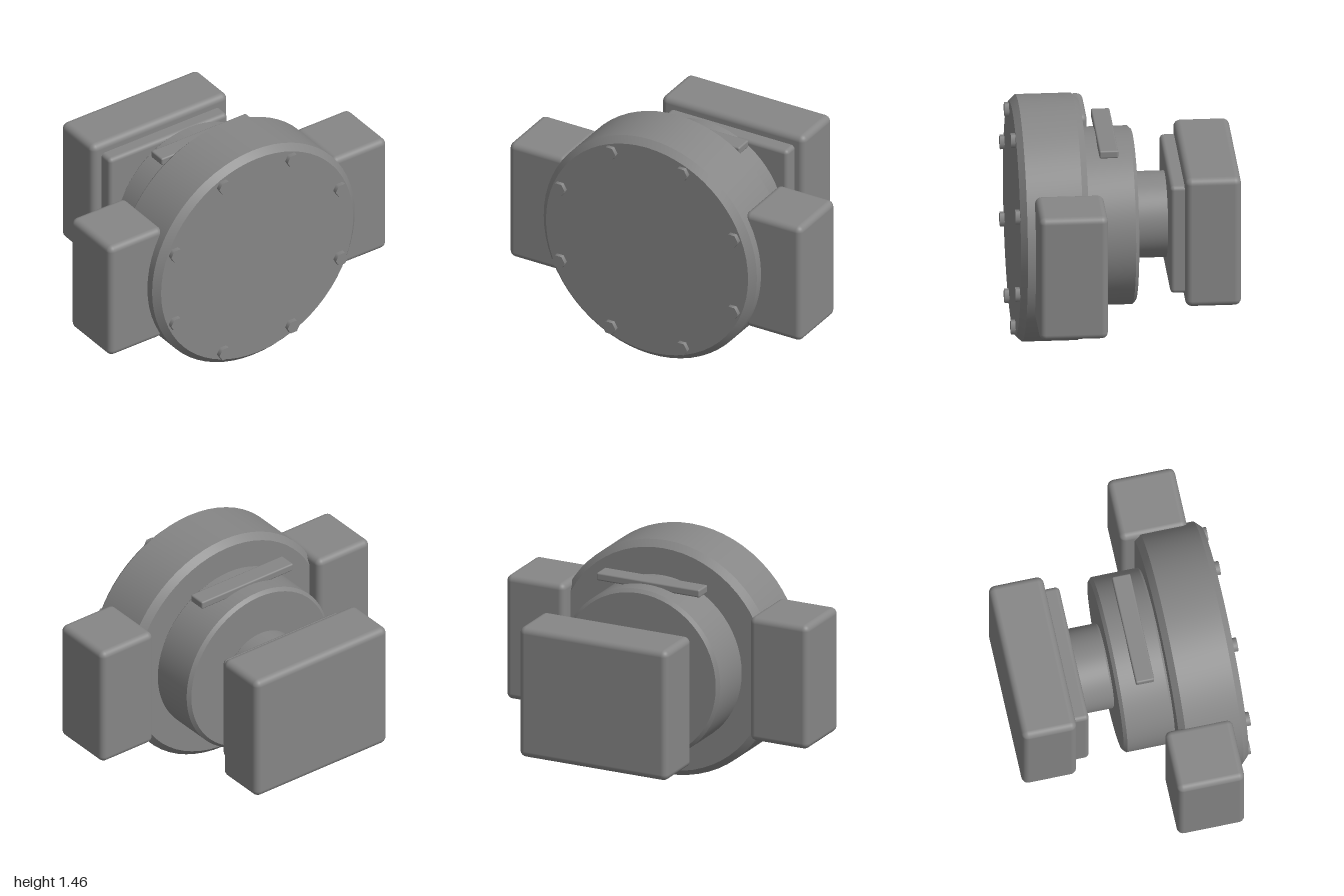
import * as THREE from 'three';
import { RoundedBoxGeometry } from 'three/addons/geometries/RoundedBoxGeometry.js';
import { toCreasedNormals } from 'three/addons/utils/BufferGeometryUtils.js';

const AXIS_Y = 0.73; // height of the common axis of all round parts

export function createModel() {
  const model = new THREE.Group();
  const material = new THREE.MeshStandardMaterial({ color: 0x868686 });

  function add(name, geometry, x, y, z) {
    const mesh = new THREE.Mesh(geometry, material);
    mesh.name = name;
    mesh.position.set(x, y, z);
    model.add(mesh);
  }

  // Disc along z with both rims chamfered
  function disc(name, radius, back, front, chamfer) {
    const profile = [
      [0, back], [radius - chamfer, back], [radius, back + chamfer],
      [radius, front - chamfer], [radius - chamfer, front], [0, front],
    ].map(([r, z]) => new THREE.Vector2(r, z));
    const geometry = new THREE.LatheGeometry(profile, 64).rotateX(Math.PI / 2);
    add(name, toCreasedNormals(geometry, 0.5), 0, AXIS_Y, 0);
  }

  // Rounded box given by its [min, max] extents
  function box(name, [x0, x1], [y0, y1], [z0, z1], radius) {
    const geometry = new RoundedBoxGeometry(x1 - x0, y1 - y0, z1 - z0, 4, radius);
    add(name, geometry, (x0 + x1) / 2, (y0 + y1) / 2, (z0 + z1) / 2);
  }

  // Round body, stepping down towards the back
  disc('mainDrum', 0.728, 0.24, 0.644, 0.038);
  disc('rearCollar', 0.526, -0.068, 0.248, 0.02);
  disc('neck', 0.255, -0.27, -0.066, 0.012);

  // Bar across the top of the collar
  box('topBar', [-0.34, 0.34], [1.226, 1.274], [0.043, 0.154], 0.01);

  // Mounting plate and block at the back
  box('mountingPlate', [-0.425, 0.425], [0.39, 1.069], [-0.37, -0.257], 0.026);
  box('rearBlock', [-0.49, 0.49], [0.325, 1.137], [-0.671, -0.342], 0.04);

  // Side blocks
  box('leftBlock', [0.611, 0.998], [0.344, 1.117], [0.153, 0.558], 0.038);
  box('rightBlock', [-0.998, -0.611], [0.344, 1.117], [0.153, 0.558], 0.038);

  // Ring of hexagonal bolt heads on the front face
  const boltGeometry = new THREE.CylinderGeometry(0.044, 0.044, 0.06, 6)
    .rotateY(Math.PI / 6).rotateX(Math.PI / 2);
  for (let i = 0; i < 8; i++) {
    const angle = (i + 0.5) * Math.PI / 4;
    add('bolt', boltGeometry, 0.64 * Math.cos(angle), AXIS_Y + 0.64 * Math.sin(angle), 0.641);
  }

  return model;
}
